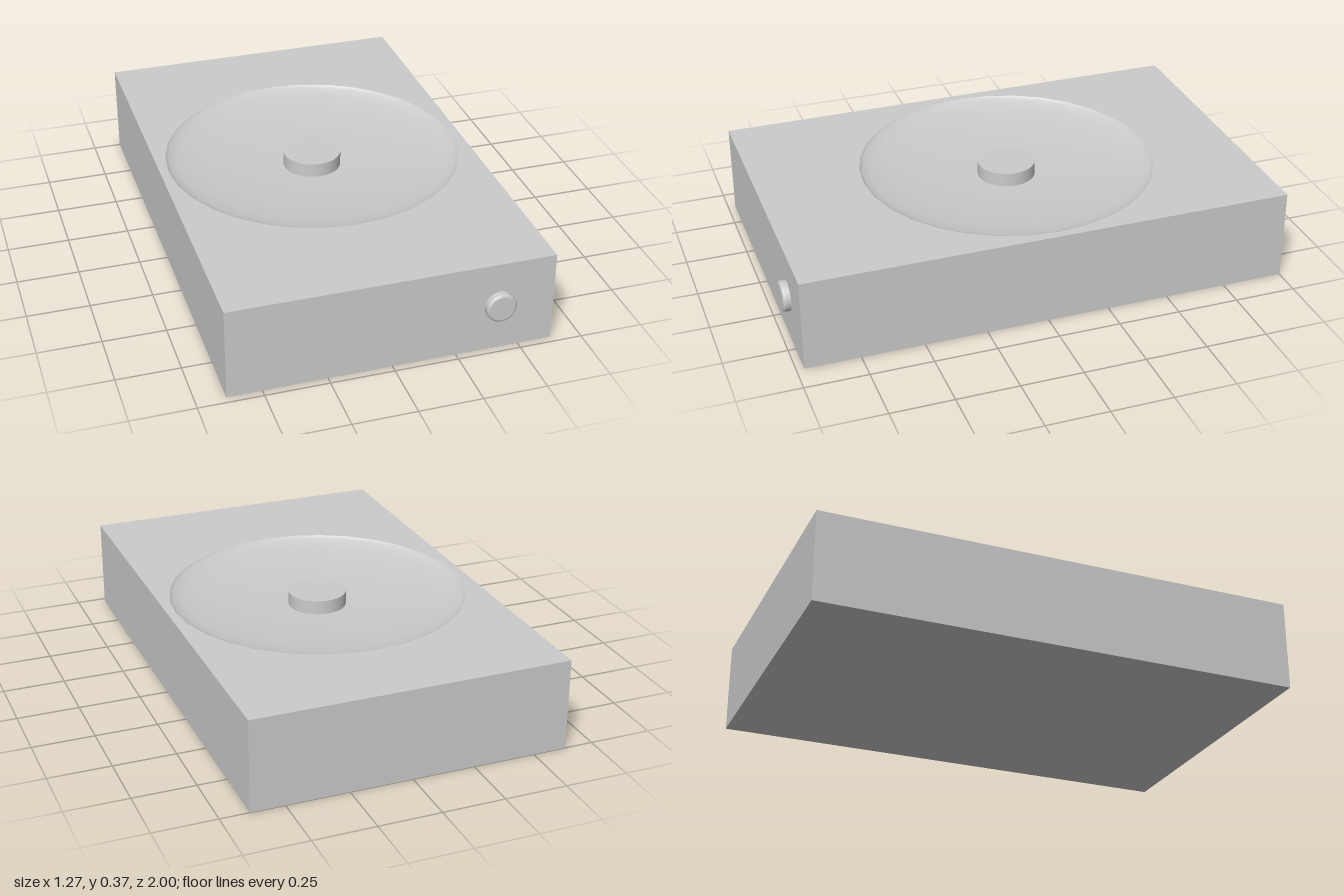
import * as THREE from 'three';

const W = 1.27, H = 0.37, BACK = -1, FRONT = 0.97; // case extents
const DISH_Z = -0.05, DISH_R = 0.6, DISH_D = 0.057, SIDES = 32;

export function createModel() {
  const group = new THREE.Group();
  const material = new THREE.MeshStandardMaterial({ color: 0xcccccc });
  const add = (name, geometry, x = 0, y = 0, z = 0) => {
    const mesh = new THREE.Mesh(geometry, material);
    mesh.name = name;
    mesh.position.set(x, y, z);
    group.add(mesh);
  };

  // Case: a box whose top face is left out
  const box = new THREE.BoxGeometry(W, H, FRONT - BACK);
  const index = Array.from(box.index.array);
  index.splice(12, 6);
  box.setIndex(index);
  box.clearGroups();
  add('caseBody', box, 0, H / 2, (FRONT + BACK) / 2);

  // Top panel with a round opening that meets the dish rim
  const panel = new THREE.Shape([
    new THREE.Vector2(-W / 2, -FRONT), new THREE.Vector2(W / 2, -FRONT),
    new THREE.Vector2(W / 2, -BACK), new THREE.Vector2(-W / 2, -BACK),
  ]);
  const rim = [];
  for (let i = 0; i < SIDES; i++) {
    const a = (-i / SIDES) * Math.PI * 2;
    rim.push(new THREE.Vector2(Math.cos(a) * DISH_R, Math.sin(a) * DISH_R - DISH_Z));
  }
  panel.holes.push(new THREE.Path(rim));
  add('topPanel', new THREE.ShapeGeometry(panel).rotateX(-Math.PI / 2), 0, H, 0);

  // Sunken dish: lower half of a flattened sphere, facing up
  const bowl = [];
  for (let i = 0; i <= 8; i++) {
    const a = (i / 8) * Math.PI / 2;
    bowl.push(new THREE.Vector2(i === 8 ? 0 : Math.cos(a) * DISH_R, -Math.sin(a) * DISH_D));
  }
  add('dish', new THREE.LatheGeometry(bowl, SIDES), 0, H, DISH_Z);

  // Central hub, level with the top panel
  add('hub', new THREE.CylinderGeometry(0.117, 0.117, DISH_D, SIDES), 0, H - DISH_D / 2 + 0.001, DISH_Z);

  // Front knob with a rounded edge
  const knob = [new THREE.Vector2(0.06, 0), new THREE.Vector2(0.06, 0.018)];
  for (let i = 1; i <= 4; i++) {
    const a = (i / 4) * Math.PI / 2;
    knob.push(new THREE.Vector2(0.048 + Math.cos(a) * 0.012, 0.018 + Math.sin(a) * 0.012));
  }
  knob.push(new THREE.Vector2(0, 0.03));
  add('knob', new THREE.LatheGeometry(knob, SIDES).rotateX(Math.PI / 2), 0.417, 0.191, FRONT);

  return group;
}
